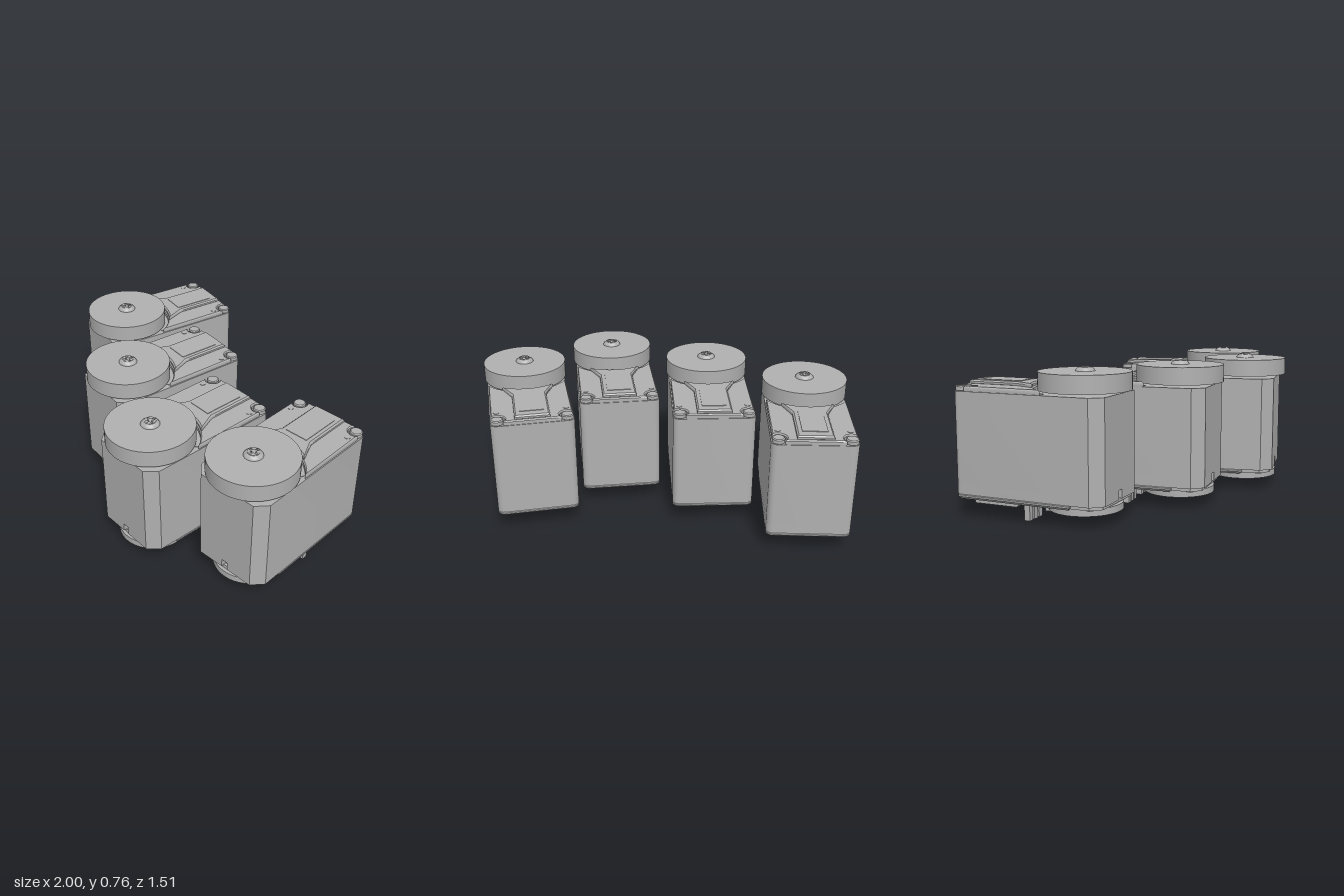
import * as THREE from 'three';
import { toCreasedNormals } from 'three/addons/utils/BufferGeometryUtils.js';

const grey = new THREE.MeshStandardMaterial({ color: 0xb0b0b0 });
grey.name = 'plain grey';

function add(parent, name, geo, x = 0, y = 0, z = 0) {
  const m = new THREE.Mesh(geo, grey);
  m.name = name;
  m.position.set(x, y, z);
  parent.add(m);
  return m;
}

// Plan outline given as [x, z] points, raised from y0 to y1, with optional edge bevel
function prism(pts, y0, y1, bevel = 0, holes = []) {
  const toV = (list) => list.map(([x, z]) => new THREE.Vector2(x, -z));
  const shape = new THREE.Shape(toV(pts));
  holes.forEach((h) => shape.holes.push(new THREE.Path(toV(h))));
  const g = new THREE.ExtrudeGeometry(shape, {
    depth: y1 - y0 - 2 * bevel, bevelEnabled: bevel > 0, bevelSize: bevel,
    bevelThickness: bevel, bevelOffset: -bevel, bevelSegments: 1,
  });
  g.rotateX(-Math.PI / 2);
  g.translate(0, y0 + bevel, 0);
  return toCreasedNormals(g, 0.6);
}

const arc = (cx, cz, r, a0, a1, n) => Array.from({ length: n + 1 }, (_, i) => {
  const a = a0 + ((a1 - a0) * i) / n;
  return [cx + r * Math.cos(a), cz + r * Math.sin(a)];
});
const circle = (cx, cz, r, n = 24) => arc(cx, cz, r, 0, 2 * Math.PI * (1 - 1 / n), n - 1);
const mirrored = (half) => [...half, ...half.map(([x, z]) => [-x, z]).reverse()];

// Cross recess outline for the screw heads
function cross(cx, cz, r, w, turn) {
  const out = [];
  for (let k = 0; k < 4; k++) {
    for (const [u, v] of [[r, -w], [r, w], [w, w]]) {
      const a = (k * Math.PI) / 2 + turn;
      out.push([cx + u * Math.cos(a) - v * Math.sin(a), cz + u * Math.sin(a) + v * Math.cos(a)]);
    }
  }
  return out;
}

const H = Math.PI / 2;
const W = 0.219, BACK = -0.62, FRONT = 0.185;

// Case plan: chamfered front, rounded back, optional notch in the middle of the front
function casePlan(inset = 0, notch = false) {
  const w = W - inset, f = FRONT - inset, b = BACK + inset, r = 0.035;
  const front = notch ? [[0.018, f - 0.03], [0.018, f]] : [];
  return mirrored([...front, [0.166 - inset / 2, f], [w, 0.125 - inset / 2],
    ...arc(w - r, b + r, r, 0, -H, 6)]);
}

// Plate whose front edge curves around the top disc
function curvedFront(halfX, r, rest) {
  const a = Math.acos(halfX / r);
  return mirrored([...arc(0, 0, r, -H + 0.01, -a, 10), ...rest]);
}

function buildUnit() {
  const u = new THREE.Group();

  // Case
  add(u, 'caseMain', prism(casePlan(), 0.165, 0.632));
  add(u, 'caseNotchedBase', prism(casePlan(0, true), 0.118, 0.165));
  add(u, 'caseBottomFront', prism(casePlan(0.015), 0.1, 0.12));
  add(u, 'caseBottomRear', prism(mirrored([[W, 0.02],
    ...arc(W - 0.035, BACK + 0.035, 0.035, 0, -H, 6)]), 0.093, 0.125, 0.012));

  // Top cover with corner cut-outs for the screws
  const sx = 0.182, sz = -0.585;
  add(u, 'topCover', prism(curvedFront(0.213, 0.25, [[0.213, -0.54],
    ...arc(sx, sz, 0.042, 0.75, Math.PI + 0.75, 10), [0.14, -0.616]]), 0.625, 0.657, 0.006));
  add(u, 'topPanel', prism(curvedFront(0.14, 0.255,
    [[0.092, -0.33], [0.092, -0.605]]), 0.65, 0.676, 0.008));
  add(u, 'topInset', new THREE.BoxGeometry(0.13, 0.004, 0.23), 0, 0.677, -0.44);
  for (const s of [-1, 1]) {
    add(u, 'cornerScrew', prism(circle(s * sx, sz, 0.033), 0.63, 0.658, 0.005,
      [cross(s * sx, sz, 0.02, 0.005, 0.5)]));
    add(u, 'topPlug', new THREE.CylinderGeometry(0.015, 0.015, 0.003, 20), s * sx, 0.658, -0.51);
    add(u, 'topPlug', new THREE.CylinderGeometry(0.015, 0.015, 0.004, 20), s * sx, 0.633, -0.145);
    for (const z of [0.11, -0.57]) {
      add(u, 'bottomScrew', new THREE.CylinderGeometry(0.018, 0.018, 0.008, 20),
        s * 0.175, z > 0 ? 0.098 : 0.091, z);
    }
  }

  // Top drive disc
  add(u, 'topHub', new THREE.CylinderGeometry(0.1, 0.1, 0.03, 40), 0, 0.638, 0);
  add(u, 'topDisc', new THREE.CylinderGeometry(0.23, 0.23, 0.09, 72), 0, 0.69, 0);
  const dome = new THREE.LatheGeometry([[0.05, 0.733], [0.049, 0.738], [0.043, 0.746],
    [0.032, 0.753], [0.03, 0.754], [0.03, 0.744], [0, 0.744]]
    .map(([x, y]) => new THREE.Vector2(x, y)), 32);
  add(u, 'discScrewDome', toCreasedNormals(dome.toNonIndexed(), 0.6));
  add(u, 'discScrewCross', prism(circle(0, 0, 0.031), 0.744, 0.756, 0,
    [cross(0, 0, 0.025, 0.006, 0.2)]));

  // Bottom idler disc with four holes
  add(u, 'bottomHub', new THREE.CylinderGeometry(0.11, 0.11, 0.03, 40), 0, 0.105, 0);
  const holes = [0, 1, 2, 3].map((k) =>
    circle(0.13 * Math.cos(k * H), 0.13 * Math.sin(k * H), 0.02, 16));
  add(u, 'bottomDisc', prism(circle(0, 0, 0.185, 60), 0.06, 0.095, 0, holes));
  add(u, 'bottomBoss', prism(circle(0, 0, 0.075, 36), 0.05, 0.065, 0, [circle(0, 0, 0.045)]));
  add(u, 'bottomBossScrew', prism(circle(0, 0, 0.035), 0.052, 0.065, 0,
    [cross(0, 0, 0.022, 0.006, 0.3)]));

  // Bottom rear cover with a sloping front edge
  const side = new THREE.Shape([[0.27, 0.1], [0.31, 0.062], [0.55, 0.062], [0.55, 0.1]]
    .map(([x, y]) => new THREE.Vector2(x, y)));
  const cover = new THREE.ExtrudeGeometry(side, { depth: 0.3, bevelEnabled: false });
  cover.rotateY(H);
  add(u, 'bottomCover', cover, -0.15, 0, 0);
  add(u, 'bottomCoverPanel', new THREE.BoxGeometry(0.24, 0.006, 0.19), 0, 0.061, -0.43);

  // Two rows of three connector pins
  for (const x of [-0.135, -0.09, -0.045, 0.07, 0.115, 0.16]) {
    add(u, 'connectorPin', new THREE.BoxGeometry(0.031, 0.1, 0.031), x, 0.05, -0.25);
  }
  return u;
}

export function createModel() {
  const root = new THREE.Group();
  root.name = 'motorSet';
  // Position of each disc axis and yaw in degrees
  const places = [[-0.765, -0.115, -9.3], [-0.28, 0.25, -5], [0.25, 0.52, 0], [0.765, 0.31, 4.5]];
  places.forEach(([x, z, deg], i) => {
    const unit = buildUnit();
    unit.name = 'motor' + (i + 1);
    unit.position.set(x, 0, z);
    unit.rotation.y = THREE.MathUtils.degToRad(deg);
    root.add(unit);
  });
  return root;
}
